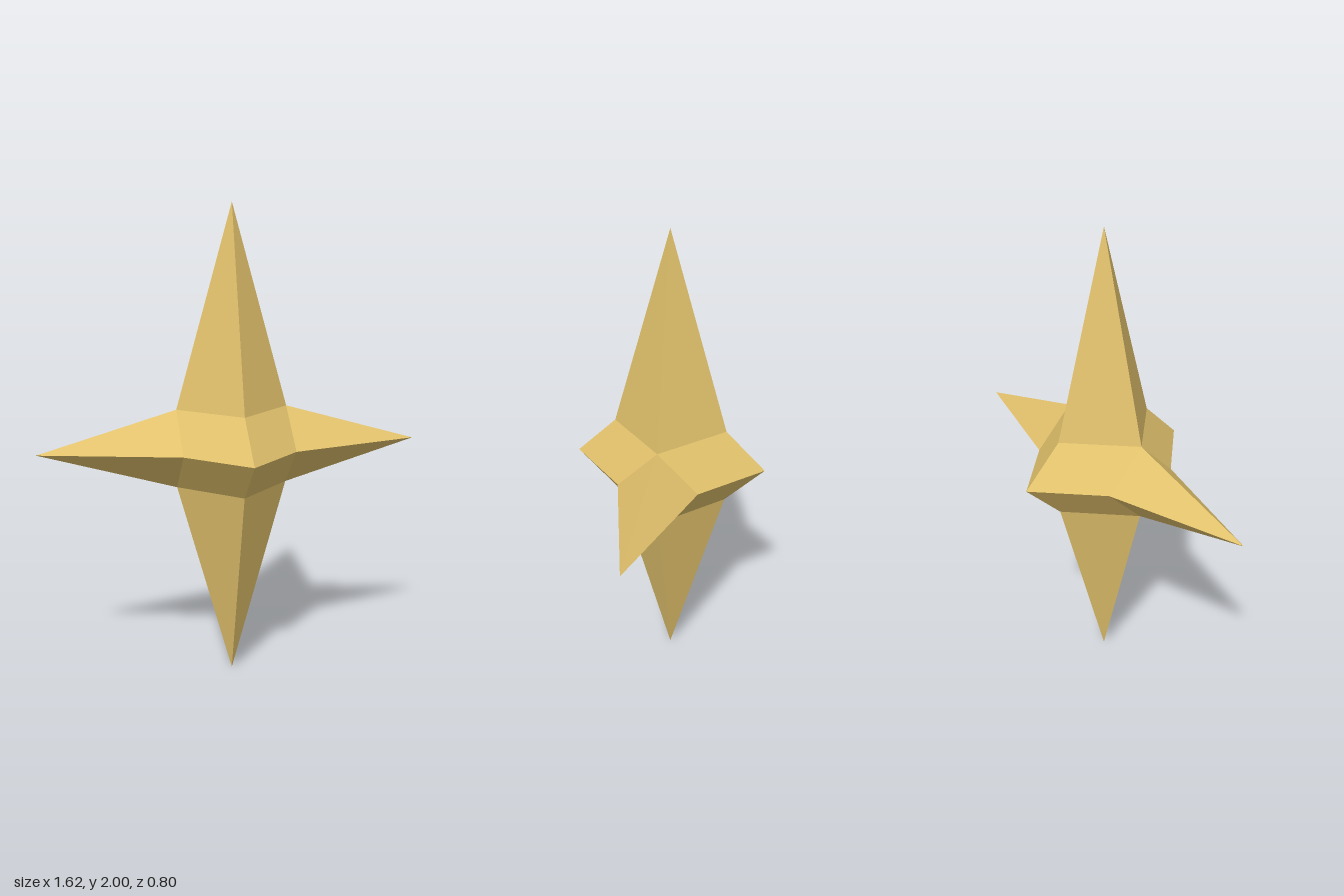
import * as THREE from 'three';

const CORE = 0.4;      // reach of the octahedral core along z
const RX = 0.235;      // x where the side spikes start
const RY = CORE - RX;  // height where the vertical spikes start
const SIDE_TIP = 0.81;
const VERTICAL_TIP = 1;

// Octahedral core, one sloping quad per octant, open where the spikes attach
function coreGeometry() {
  const positions = [];
  for (const sx of [1, -1]) for (const sy of [1, -1]) for (const sz of [1, -1]) {
    const quad = [[0, 0, CORE], [RX, 0, RY], [RX, RY, 0], [0, RY, RX]]
      .map(([x, y, z]) => [x * sx, y * sy, z * sz]);
    if (sx * sy * sz < 0) quad.reverse();
    for (const i of [0, 1, 2, 0, 2, 3]) positions.push(...quad[i]);
  }
  const geometry = new THREE.BufferGeometry();
  geometry.setAttribute('position', new THREE.Float32BufferAttribute(positions, 3));
  geometry.computeVertexNormals();
  return geometry;
}

// Four-sided spike standing on its base at the origin
function spikeGeometry(radius, length) {
  return new THREE.ConeGeometry(radius, length, 4, 1, true).translate(0, length / 2, 0);
}

export function createModel() {
  const gold = new THREE.MeshStandardMaterial({ color: 0xe2c26c, flatShading: true });
  gold.name = 'pale gold';

  const star = new THREE.Group();
  star.name = 'star';
  const add = (name, geometry) => {
    const mesh = new THREE.Mesh(geometry, gold);
    mesh.name = name;
    mesh.position.y = VERTICAL_TIP;
    star.add(mesh);
  };

  add('core', coreGeometry());

  // Long vertical spikes
  const vertical = () => spikeGeometry(RX, VERTICAL_TIP - RY).translate(0, RY, 0);
  add('topSpike', vertical());
  add('bottomSpike', vertical().rotateX(Math.PI));

  // Shorter side spikes
  const side = () => spikeGeometry(RY, SIDE_TIP - RX).translate(0, RX, 0);
  add('leftSpike', side().rotateZ(-Math.PI / 2));
  add('rightSpike', side().rotateZ(Math.PI / 2));

  return star;
}
